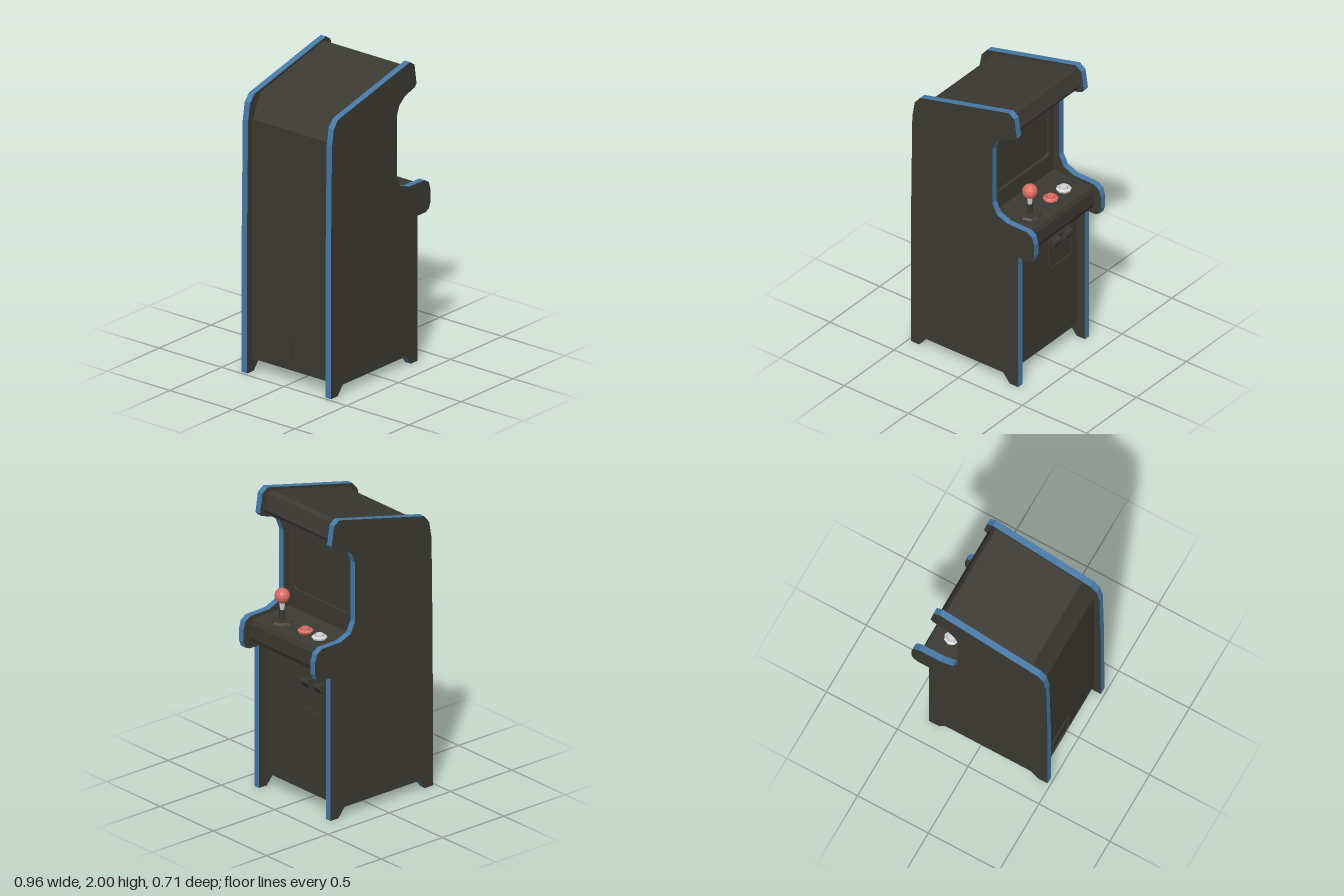
import * as THREE from 'three';

const mat = (name, color) => {
  const m = new THREE.MeshStandardMaterial({ color, flatShading: true });
  m.name = name;
  return m;
};

const shapeOf = (pts) => new THREE.Shape(pts.map(([x, y]) => new THREE.Vector2(x, y)));

// Rectangle with cut corners, from u0,v0 to u1,v1
function roundRect(u0, v0, u1, v1, r) {
  const k = r * 0.3;
  return [
    [u0 + r, v0], [u1 - r, v0], [u1 - k, v0 + k], [u1, v0 + r],
    [u1, v1 - r], [u1 - k, v1 - k], [u1 - r, v1], [u0 + r, v1],
    [u0 + k, v1 - k], [u0, v1 - r], [u0, v0 + r], [u0 + k, v0 + k],
  ];
}

function extrude(pts, depth, hole) {
  const s = shapeOf(pts);
  if (hole) s.holes.push(shapeOf(hole));
  return new THREE.ExtrudeGeometry(s, { depth, bevelEnabled: false });
}

export function createModel() {
  const root = new THREE.Group();
  root.name = 'arcadeCabinet';
  const dark = mat('charcoal', 0x3b3932);
  const blue = mat('blueTrim', 0x467aa8);
  const red = mat('coralRed', 0xdb6b60);
  const light = mat('lightGrey', 0xd4d4d8);

  const add = (name, geo, material, x = 0, y = 0, z = 0, parent = root) => {
    const m = new THREE.Mesh(geo, material);
    m.name = name;
    m.position.set(x, y, z);
    parent.add(m);
    return m;
  };

  // Side panels: dark faces, blue edge trim
  const sideProfile = [
    [-0.48, 0], [-0.415, 0], [-0.365, 0.062], [0.24, 0.062], [0.29, 0], [0.355, 0],
    [0.355, 0.96], [0.43, 0.96], [0.465, 0.975], [0.479, 1.015], [0.479, 1.1],
    [0.465, 1.15], [0.425, 1.175], [0.27, 1.178], [0.19, 1.21], [0.155, 1.28],
    [0.155, 1.68], [0.18, 1.745], [0.235, 1.79], [0.33, 1.82], [0.346, 1.84],
    [0.326, 1.97], [0.283, 2.0], [-0.408, 1.83], [-0.45, 1.78], [-0.469, 1.67],
    [-0.479, 0.95],
  ];
  const sideGeo = extrude(sideProfile, 0.043);
  add('leftSidePanel', sideGeo, [dark, blue], 0, 0, 0.314);
  add('rightSidePanel', sideGeo, [dark, blue], 0, 0, -0.357);

  // Cabinet body between the sides
  const bodyProfile = [
    [-0.43, 0.085], [0.29, 0.085], [0.29, 0.95], [0.412, 1.0], [0.425, 1.03],
    [0.425, 1.12], [0.412, 1.151], [0.09, 1.16], [0.09, 1.772], [0.305, 1.84],
    [0.315, 1.862], [0.282, 1.96], [0.26, 1.98], [-0.345, 1.825], [-0.43, 1.67],
  ];
  add('cabinetBody', extrude(bodyProfile, 0.63), dark, 0, 0, -0.315);

  // Plates on the front face +x (u = -z) and the back face -x (u = z)
  const frontPlate = (name, pts, depth, x, hole) =>
    add(name, extrude(pts, depth, hole).rotateY(Math.PI / 2), dark, x);
  const backPlate = (name, pts, depth, x, hole) =>
    add(name, extrude(pts, depth, hole).rotateY(-Math.PI / 2), dark, x);

  // Screen bezel with a recessed screen
  frontPlate('screenBezel',
    [[-0.315, 1.155], [0.315, 1.155], [0.315, 1.777], [-0.315, 1.777]], 0.02, 0.09,
    roundRect(-0.273, 1.283, 0.273, 1.753, 0.025));

  // Coin door: rim, inner plate and two wedge-shaped coin slots
  frontPlate('coinDoorRim', roundRect(0.028, 0.64, 0.255, 0.866, 0.02), 0.012, 0.289,
    roundRect(0.035, 0.647, 0.248, 0.859, 0.016));
  frontPlate('coinDoor', roundRect(0.038, 0.65, 0.245, 0.856, 0.015), 0.007, 0.289);
  const slot = extrude([[0, 0.795], [0.02, 0.795], [0.045, 0.835], [0.04, 0.853], [0, 0.853]], 0.06);
  for (const z of [-0.11, -0.228]) add('coinSlot', slot, dark, 0.29, 0, z);

  // Service hatch low on the back
  backPlate('serviceHatchRim', roundRect(-0.25, 0.13, 0, 0.32, 0.01), 0.008, -0.429,
    roundRect(-0.242, 0.138, -0.008, 0.312, 0.008));

  // Joystick
  const stick = new THREE.Group();
  stick.name = 'joystick';
  stick.position.set(0.297, 1.15, 0.163);
  root.add(stick);
  add('joystickPlate', new THREE.CylinderGeometry(0.066, 0.077, 0.014, 8), dark, 0, 0.009, 0, stick);
  add('joystickSleeve', new THREE.CylinderGeometry(0.018, 0.018, 0.08, 8), dark, 0, 0.045, 0, stick);
  add('joystickShaft', new THREE.CylinderGeometry(0.02, 0.013, 0.06, 8), light, 0, 0.112, 0, stick);
  add('joystickBall', new THREE.SphereGeometry(0.049, 12, 8), red, 0, 0.177, 0, stick);

  // Push buttons: collar ring and raised plunger
  const buttonProfile = [
    [0.047, 0], [0.05, 0.012], [0.036, 0.022], [0.032, 0.014],
    [0.028, 0.014], [0.026, 0.031], [0, 0.033],
  ].map(([x, y]) => new THREE.Vector2(x, y));
  const buttonGeo = new THREE.LatheGeometry(buttonProfile, 8);
  add('redButton', buttonGeo, red, 0.293, 1.153, -0.05);
  add('whiteButton', buttonGeo, light, 0.293, 1.153, -0.182);

  return root;
}
